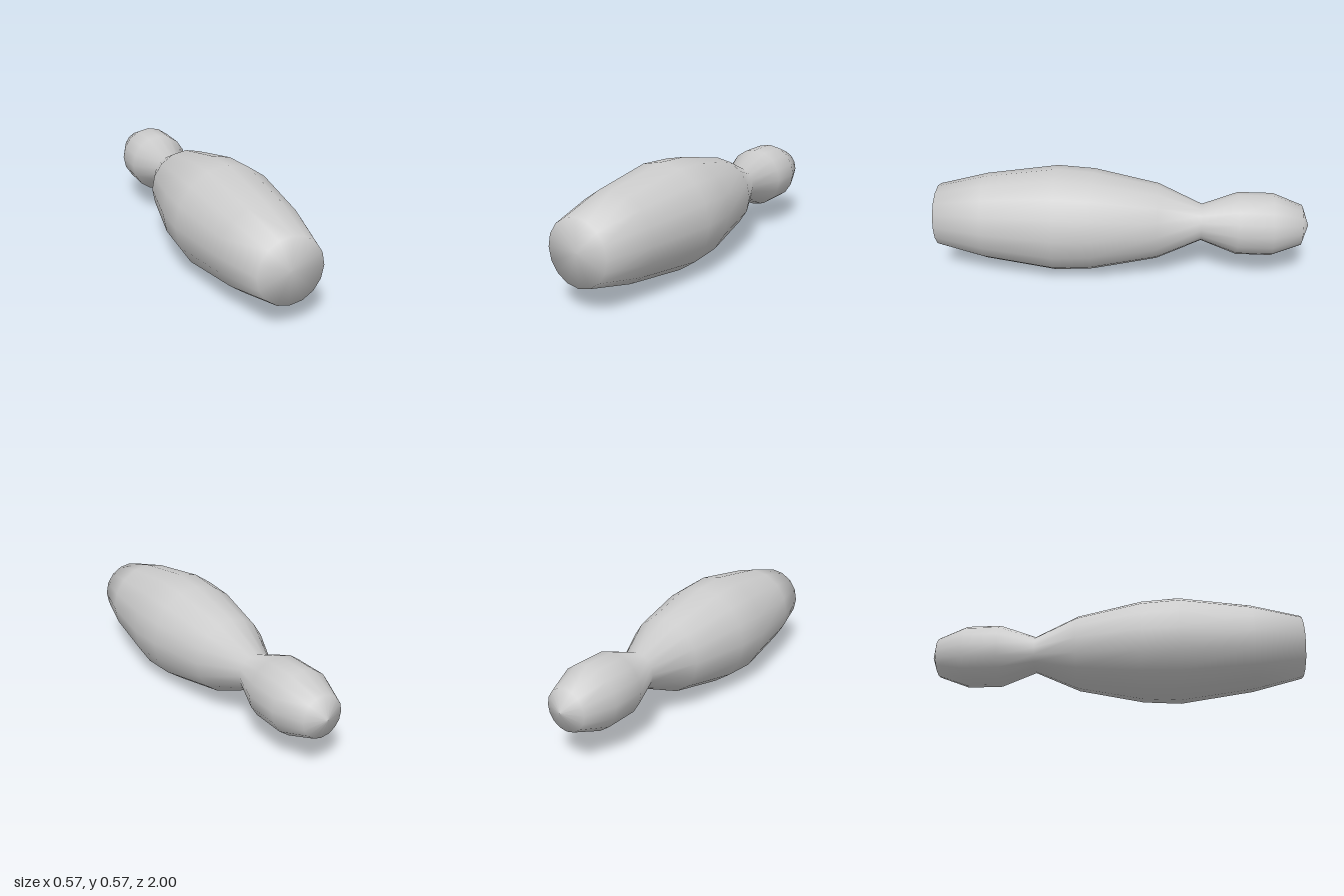
import * as THREE from 'three';

export function createModel() {
  const group = new THREE.Group();
  group.name = 'bowlingPin';

  const pinGrey = new THREE.MeshStandardMaterial({ color: 0xcccccc });
  pinGrey.name = 'pinGrey';

  // Profile as [radius, z], from the base at the front to the tip of the head
  const profile = [
    [0, 1], [0.168, 0.995], [0.232, 0.735], [0.285, 0.35], [0.273, 0.15],
    [0.203, -0.195], [0.098, -0.43], [0.167, -0.62], [0.167, -0.805],
    [0.108, -0.96], [0, -1],
  ].map(([r, z]) => new THREE.Vector2(r, -z));

  // Sixteen-sided smooth body, laid down along z
  const geometry = new THREE.LatheGeometry(profile, 16);
  geometry.rotateX(-Math.PI / 2);
  geometry.translate(0, 0.285, 0);

  const pin = new THREE.Mesh(geometry, pinGrey);
  pin.name = 'pinBody';
  group.add(pin);
  return group;
}
